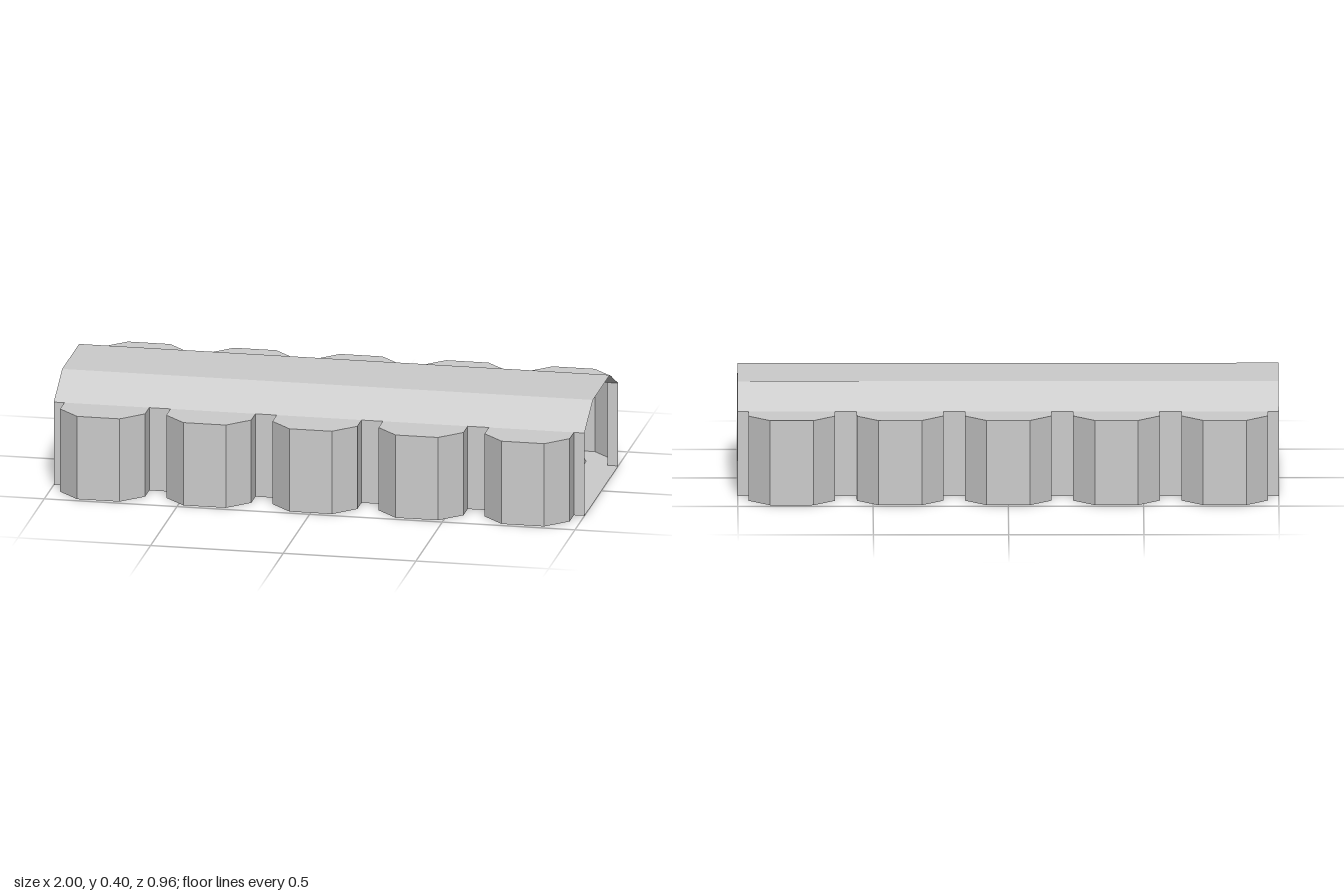
import * as THREE from 'three';

const HALF_LENGTH = 1, WALL_Z = 0.32, WALL_TOP = 0.32;
const POD_CENTRES = [-0.8, -0.4, 0, 0.4, 0.8];

const material = new THREE.MeshStandardMaterial({
  color: 0xcccccc, flatShading: true, side: THREE.DoubleSide,
});

function part(name, geometry) {
  const mesh = new THREE.Mesh(geometry, material);
  mesh.name = name;
  return mesh;
}

// Flat-faced band between two matching rows of points
function band(rowA, rowB) {
  const pos = [];
  for (let i = 0; i < rowA.length - 1; i++) {
    const [a, b, c, d] = [rowA[i], rowA[i + 1], rowB[i + 1], rowB[i]];
    pos.push(...a, ...b, ...c, ...a, ...c, ...d);
  }
  const geometry = new THREE.BufferGeometry();
  geometry.setAttribute('position', new THREE.Float32BufferAttribute(pos, 3));
  geometry.computeVertexNormals();
  return geometry;
}

const polygon = (points) =>
  new THREE.ShapeGeometry(new THREE.Shape(points.map(([x, y]) => new THREE.Vector2(x, y))));

// Plan of one bay, as [x, z], from its left mouth to its right mouth
const podPlan = (c) => [
  [c - 0.16, WALL_Z], [c - 0.16, 0.4], [c - 0.08, 0.48],
  [c + 0.08, 0.48], [c + 0.16, 0.4], [c + 0.16, WALL_Z],
];

export function createModel() {
  const model = new THREE.Group();
  model.name = 'tunnelHall';

  // Scalloped plan of one long side
  const sidePlan = [[-HALF_LENGTH, WALL_Z], ...POD_CENTRES.flatMap(podPlan), [HALF_LENGTH, WALL_Z]];

  // Floor follows both scalloped sides
  const floorPlan = [...sidePlan, ...sidePlan.map(([x, z]) => [-x, -z])];
  model.add(part('floor', polygon(floorPlan).rotateX(Math.PI / 2)));

  // Long walls with bays opening inward, and the bay roofs
  for (const [name, turn] of [['frontSide', 0], ['backSide', Math.PI]]) {
    const side = new THREE.Group();
    side.name = name;
    side.add(part('wall', band(
      sidePlan.map(([x, z]) => [x, 0, z]),
      sidePlan.map(([x, z]) => [x, WALL_TOP, z]),
    )));
    for (const c of POD_CENTRES) {
      const cap = polygon(podPlan(c).map(([x, z]) => [x, -z]));
      side.add(part('bayRoof', cap.rotateX(-Math.PI / 2).translate(0, WALL_TOP, 0)));
    }
    side.rotation.y = turn;
    model.add(side);
  }

  // Main roof: two slopes and a flat top
  const roofProfile = [[WALL_Z, WALL_TOP], [0.16, 0.4], [-0.16, 0.4], [-WALL_Z, WALL_TOP]];
  model.add(part('roof', band(
    roofProfile.map(([z, y]) => [-HALF_LENGTH, y, z]),
    roofProfile.map(([z, y]) => [HALF_LENGTH, y, z]),
  ).scale(1, 1, 1)));

  // Closed end at -x; the other end stays open
  const endWall = polygon([[WALL_Z, 0], ...roofProfile, [-WALL_Z, 0]]);
  model.add(part('endWall', endWall.rotateY(-Math.PI / 2).translate(-HALF_LENGTH, 0, 0)));

  // Low octagonal pads on the floor, three to each pair of bays
  const pad = new THREE.CylinderGeometry(0.0725, 0.079, 0.015, 8);
  pad.rotateY(Math.PI / 8).translate(0, 0.0085, 0);
  for (const x of POD_CENTRES) {
    for (const z of [-WALL_Z, 0, WALL_Z]) {
      const mesh = part('floorPad', pad);
      mesh.position.set(x, 0, z);
      model.add(mesh);
    }
  }

  return model;
}
